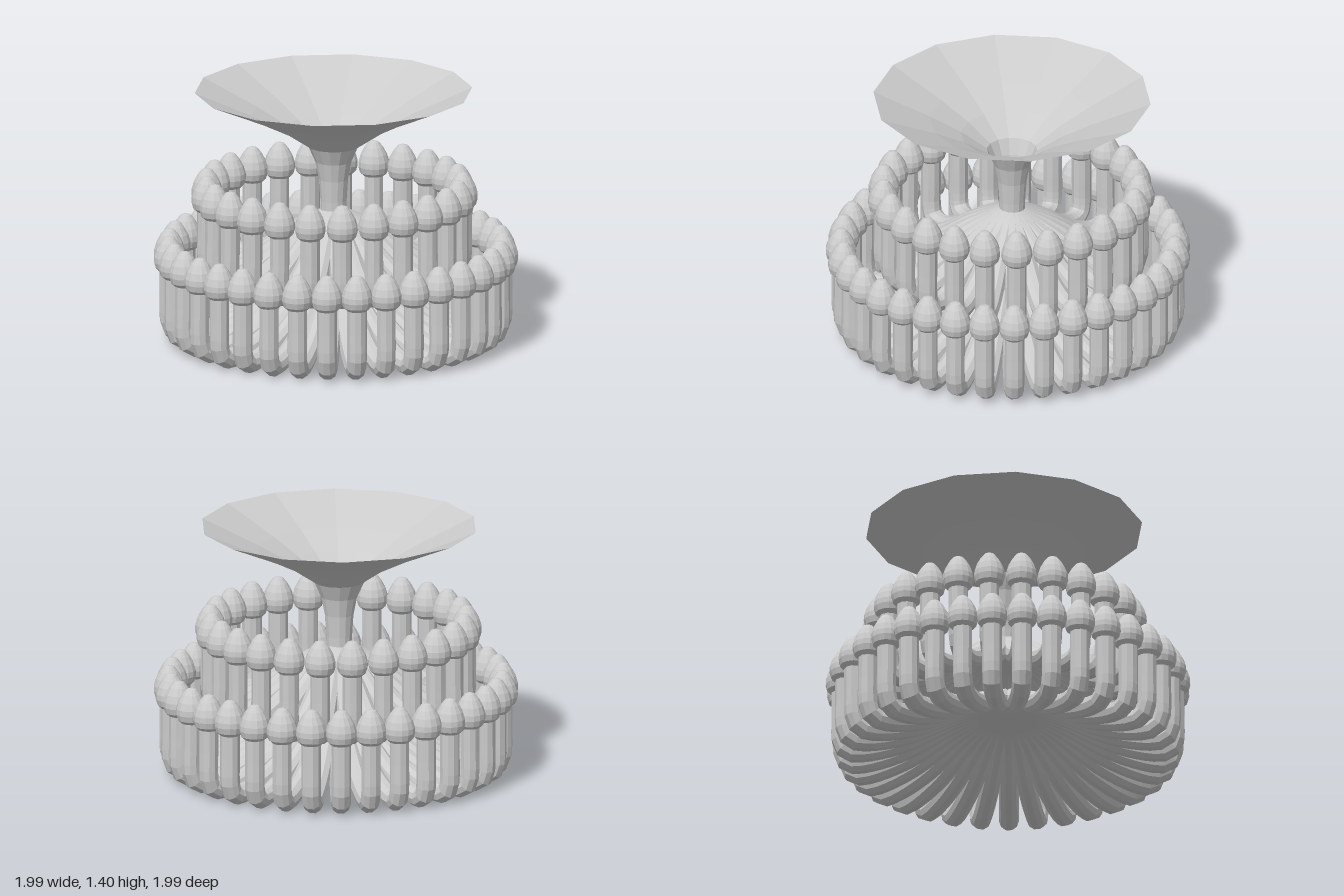
import * as THREE from 'three';

const material = new THREE.MeshStandardMaterial({ color: 0xcccccc, flatShading: true });
const thinMaterial = new THREE.MeshStandardMaterial({ color: 0xcccccc, flatShading: true, side: THREE.DoubleSide });

const lathe = (points, sides, start = 0) =>
  new THREE.LatheGeometry(points.map(([x, y]) => new THREE.Vector2(x, y)), sides, start);

// Bud-shaped tip, measured from its underside
const budProfile = [
  [0, 0], [0.055, 0.003], [0.076, 0.022], [0.085, 0.055], [0.084, 0.085],
  [0.072, 0.125], [0.05, 0.165], [0.028, 0.192], [0.012, 0.198], [0, 0.198],
];

// One ring of arms: each slopes out from the middle, bends up and ends in a bud
function armRing(name, count, radius, baseY, turn) {
  const ring = new THREE.Group();
  ring.name = name;
  const path = new THREE.CatmullRomCurve3([
    [0, 0.37], [0.32 * radius, 0.26], [0.62 * radius, 0.115], [radius - 0.13, 0.055],
    [radius - 0.05, 0.055], [radius - 0.012, 0.085], [radius, 0.14], [radius, 0.28], [radius, 0.43],
  ].map(([x, y]) => new THREE.Vector3(x, y, 0)), false, 'centripetal');
  const armGeometry = new THREE.TubeGeometry(path, 26, 0.054, 10, false);
  const budGeometry = lathe(budProfile, 14);
  for (let i = 0; i < count; i++) {
    const arm = new THREE.Group();
    arm.name = 'arm';
    const stalk = new THREE.Mesh(armGeometry, material);
    stalk.name = 'stalk';
    const bud = new THREE.Mesh(budGeometry, material);
    bud.name = 'bud';
    bud.position.set(radius, 0.402, 0);
    arm.add(stalk, bud);
    arm.rotation.y = -(i / count) * Math.PI * 2 - turn;
    ring.add(arm);
  }
  ring.position.y = baseY;
  return ring;
}

export function createModel() {
  const model = new THREE.Group();
  model.name = 'tieredFlower';

  // Lower and upper rings
  model.add(armRing('lowerRing', 35, 0.912, 0, 0));
  const upper = armRing('upperRing', 25, 0.7, 0.337, 0.028);
  upper.position.z = -0.018;
  model.add(upper);

  // Open trumpet on a hollow stem, slightly behind the middle
  const trumpet = new THREE.Mesh(lathe([
    [0.07, 0.64], [0.072, 0.78], [0.08, 0.9], [0.1, 1.0],
    [0.138, 1.085], [0.28, 1.18], [0.45, 1.265], [0.76, 1.4],
  ], 14, Math.PI / 2), thinMaterial);
  trumpet.name = 'trumpet';
  trumpet.position.z = -0.025;
  model.add(trumpet);

  return model;
}
